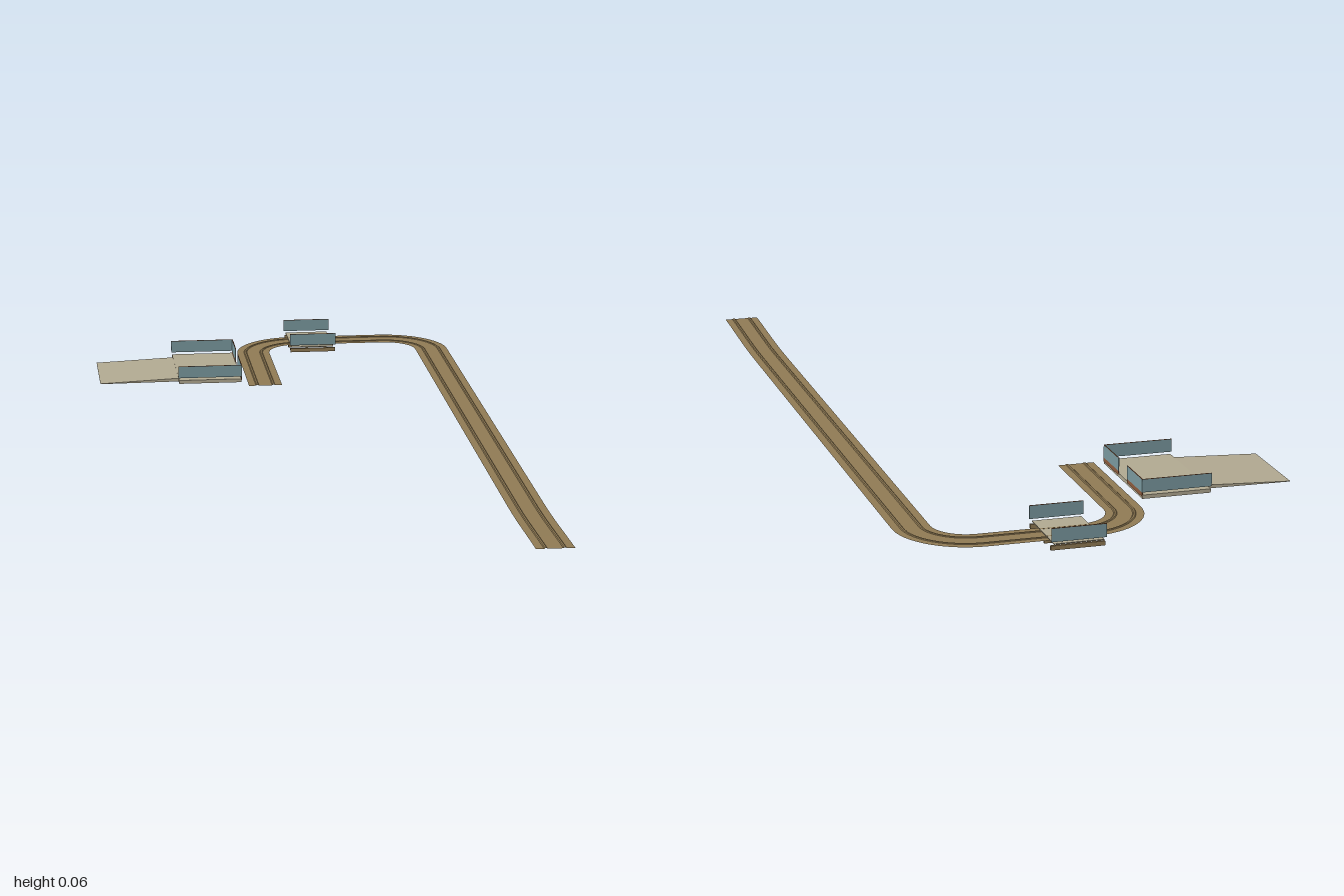
import * as THREE from 'three';

const mat = (name, color) => {
  const m = new THREE.MeshStandardMaterial({ color, side: THREE.DoubleSide });
  m.name = name;
  return m;
};

export function createModel() {
  const group = new THREE.Group();
  const earth = mat('brown road', 0x8f7a54);
  const concrete = mat('pale concrete', 0xb0a890);
  const steel = mat('blue grey panel', 0x78979d);
  const rust = mat('rust brown trim', 0x8a5a3c);

  const add = (name, geo, material, parent = group) => {
    const m = new THREE.Mesh(geo, material);
    m.name = name;
    parent.add(m);
    return m;
  };
  // box given by its limits on each axis
  const box = (name, x0, x1, y0, y1, z0, z1, material, parent) => {
    const g = new THREE.BoxGeometry(x1 - x0, y1 - y0, z1 - z0);
    g.translate((x0 + x1) / 2, (y0 + y1) / 2, (z0 + z1) / 2);
    return add(name, g, material, parent);
  };

  // Road: stations [x, z, angle of the outward side direction]
  const stations = [];
  const R = 0.125, zc = -0.795, N = 16;
  for (let i = 0; i <= 36; i++) stations.push([0.43, 1 + (zc - 1) * i / 36, 0]);
  for (const [cx, a0] of [[0.305, 0], [0.072, Math.PI / 2]]) {
    for (let i = 0; i <= N; i++) {
      const a = a0 + i / N * Math.PI / 2;
      stations.push([cx + R * Math.cos(a), zc - R * Math.sin(a), a]);
    }
  }
  stations.push([-0.053, -0.46, Math.PI]);

  // Cross-section [offset, height] with two low ridges
  const section = [[-0.043, 0], [-0.025, 0], [-0.023, 0.0015], [-0.019, 0.0015], [-0.017, 0],
    [0.017, 0], [0.019, 0.0015], [0.023, 0.0015], [0.025, 0], [0.043, 0]];
  const pos = [], idx = [], n = section.length;
  stations.forEach(([x, z, a], i) => {
    const rise = 0.0125 * THREE.MathUtils.smoothstep(z, 0.65, 1.1) / 0.87;
    section.forEach(([o, h], j) => {
      pos.push(x + o * Math.cos(a), 0.0115 + h + rise, z - o * Math.sin(a));
      if (i && j) {
        const p = (i - 1) * n + j - 1, q = i * n + j - 1;
        idx.push(p, p + 1, q, p + 1, q + 1, q);
      }
    });
  });
  let road = new THREE.BufferGeometry();
  road.setAttribute('position', new THREE.Float32BufferAttribute(pos, 3));
  road.setIndex(idx);
  road = road.toNonIndexed();
  road.computeVertexNormals();
  add('road', road, earth);

  // Loading platform with a ramp, side panels and a gap in the end wall
  const platform = new THREE.Group();
  platform.name = 'platform';
  group.add(platform);
  box('platformDeck', -0.275, -0.113, 0.015, 0.024, -0.76, -0.487, concrete, platform);
  const wedge = new THREE.Shape([[-0.478, 0.0135], [-0.275, 0.015], [-0.275, 0.0235], [-0.478, 0.0145]]
    .map(p => new THREE.Vector2(...p)));
  const ramp = new THREE.ExtrudeGeometry(wedge, { depth: 0.218, bevelEnabled: false });
  ramp.translate(0, 0, -0.73);
  add('ramp', ramp, concrete, platform);
  for (const [z0, z1] of [[-0.76, -0.758], [-0.489, -0.487]]) {
    box('sidePanel', -0.277, -0.112, 0.03, 0.06, z0, z1, steel, platform);
    box('sidePanelCap', -0.277, -0.112, 0.06, 0.061, z0, z1, rust, platform);
  }
  for (const [z0, z1] of [[-0.76, -0.655], [-0.594, -0.487]]) {
    box('endPanel', -0.114, -0.112, 0.03, 0.06, z0, z1, steel, platform);
    box('endPanelCap', -0.114, -0.112, 0.06, 0.061, z0, z1, rust, platform);
    box('endSill', -0.114, -0.112, 0.02, 0.03, z0, z1, rust, platform);
  }

  // Small bridge across the road: deck, seams, beams and parapets
  const bridge = new THREE.Group();
  bridge.name = 'bridge';
  group.add(bridge);
  box('bridgeDeck', 0.055, 0.168, 0.0135, 0.0155, -0.999, -0.837, concrete, bridge);
  for (const z of [-0.945, -0.895])
    box('deckSeam', 0.055, 0.168, 0.0155, 0.0158, z - 0.002, z + 0.002, earth, bridge);
  for (const z of [-0.993, -0.945, -0.895, -0.843])
    box('beam', 0.052, 0.174, 0, 0.01, z - 0.003, z + 0.003, earth, bridge);
  for (const z of [-0.999, -0.837]) {
    box('parapet', 0.05, 0.174, 0.02, 0.05, z - 0.001, z + 0.001, steel, bridge);
    box('parapetCap', 0.05, 0.174, 0.05, 0.051, z - 0.001, z + 0.001, rust, bridge);
  }
  return group;
}
